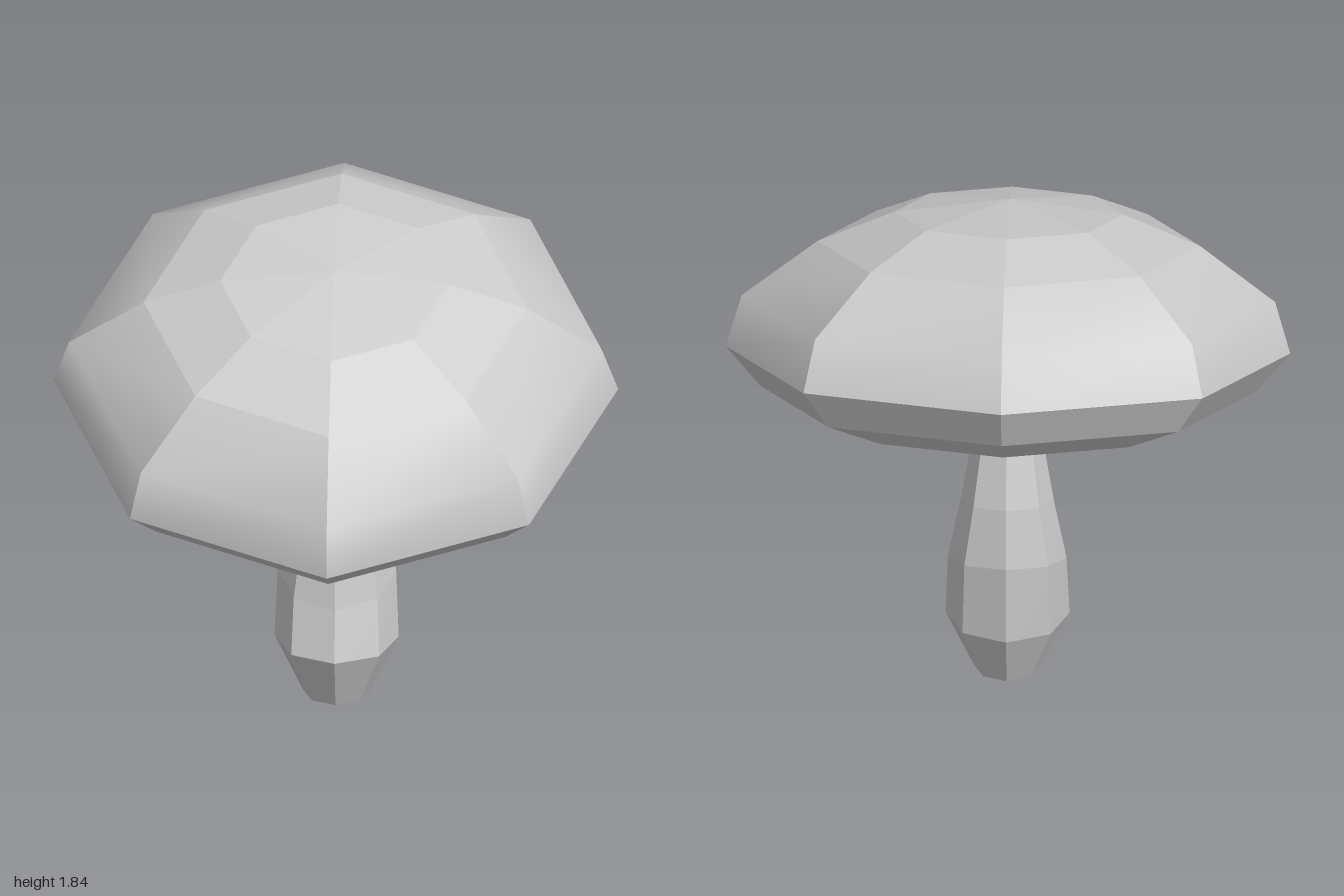
import * as THREE from 'three';
import { mergeGeometries } from 'three/addons/utils/BufferGeometryUtils.js';

const SIDES = 8;

// Point j on an octagonal ring, tipped forward about x by its tilt
function ringPoint({ r, y, z = 0, tilt = 0 }, j) {
  const a = (j / SIDES) * Math.PI * 2;
  return new THREE.Vector3(r * Math.sin(a), 0, r * Math.cos(a))
    .applyAxisAngle(new THREE.Vector3(1, 0, 0), tilt)
    .add(new THREE.Vector3(0, y, z));
}

// Joins rings from bottom to top; creased between columns, smooth along each one
function loft(rings) {
  const pos = [], index = [];
  for (let j = 0; j < SIDES; j++) {
    const start = pos.length / 3;
    rings.forEach((ring, i) => {
      pos.push(...ringPoint(ring, j).toArray(), ...ringPoint(ring, j + 1).toArray());
      if (i === 0) return;
      const a = start + 2 * (i - 1);
      index.push(a, a + 1, a + 3, a, a + 3, a + 2);
    });
  }
  const geo = new THREE.BufferGeometry();
  geo.setAttribute('position', new THREE.Float32BufferAttribute(pos, 3));
  geo.setIndex(index);
  geo.computeVertexNormals();
  return geo;
}

// One faceted surface; bands starting at a ring marked "soft" blend into the next
function facetedMesh(name, rings, material) {
  const parts = [];
  for (let i = 0; i < rings.length - 1; i++) {
    const span = rings[i].soft ? 2 : 1;
    parts.push(loft(rings.slice(i, i + span + 1)));
    i += span - 1;
  }
  const mesh = new THREE.Mesh(mergeGeometries(parts), material);
  mesh.name = name;
  return mesh;
}

export function createModel() {
  const group = new THREE.Group();
  group.name = 'mushroom';
  const material = new THREE.MeshStandardMaterial({ color: 0xcccccc });

  // Bent stem, closed at the foot, its top buried in the cap
  group.add(facetedMesh('stem', [
    { r: 0, y: 0, z: -0.065 },
    { r: 0.12, y: 0, z: -0.065 },
    { r: 0.22, y: 0.215, z: -0.065 },
    { r: 0.21, y: 0.46, z: -0.1, tilt: 0.29 },
    { r: 0.165, y: 0.7, z: -0.108, tilt: 0.25 },
    { r: 0.107, y: 1.04, z: -0.065, tilt: 0.28 },
  ], material));

  // Cap: underside, rim, shoulder and crown, tipped toward the front
  const cap = facetedMesh('cap', [
    { r: 0, y: -0.28 },
    { r: 0.623, y: -0.244 },
    { r: 0.876, y: -0.143 },
    { r: 1, y: 0, soft: true },
    { r: 0.945, y: 0.187 },
    { r: 0.678, y: 0.387 },
    { r: 0.406, y: 0.498 },
    { r: 0, y: 0.55 },
  ], material);
  cap.position.y = 1.247;
  cap.rotation.x = 0.286;
  group.add(cap);

  return group;
}
